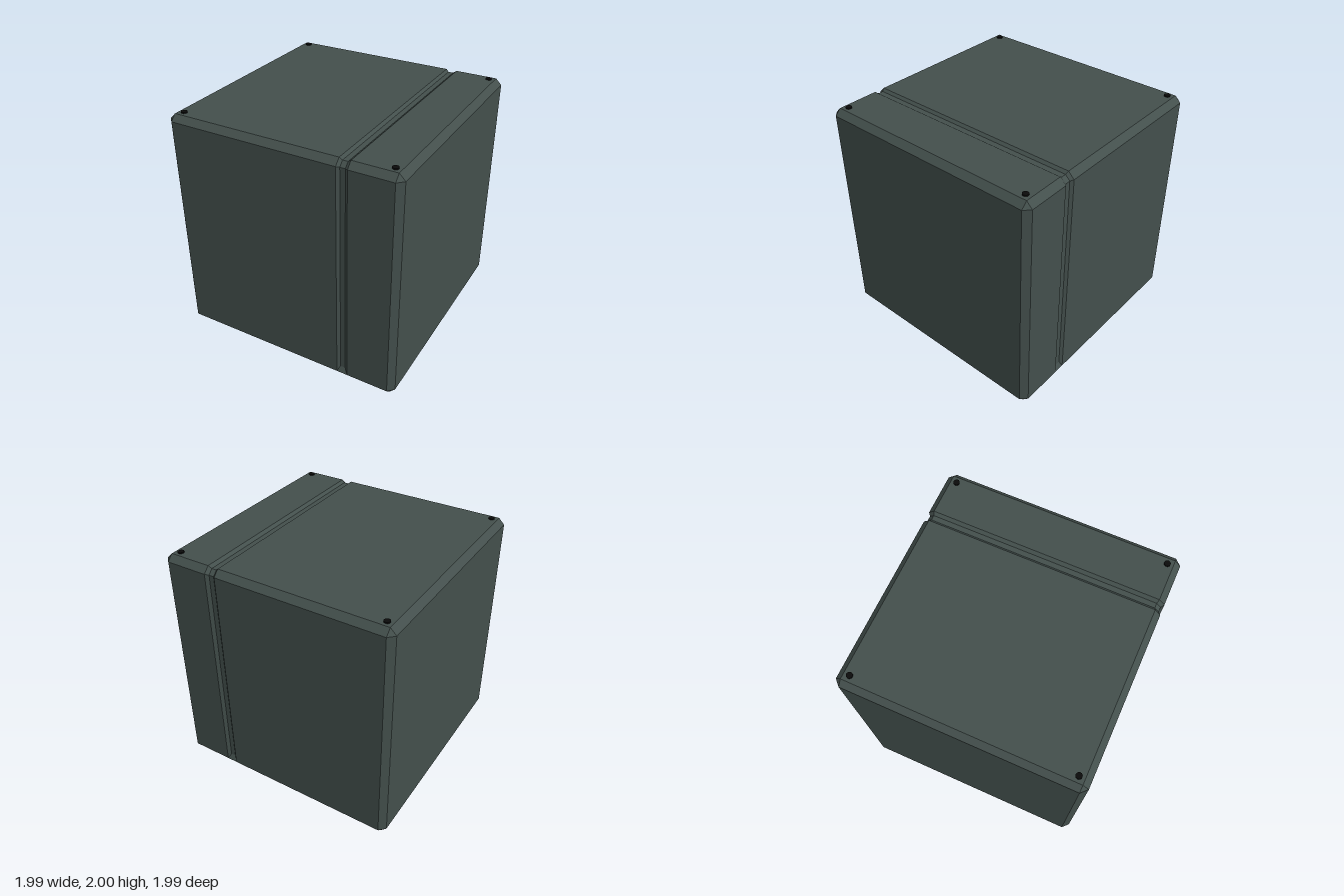
import * as THREE from 'three';

const H = 0.995, TOP = 1.99, BEVEL = 0.05, DEPTH = 0.02;

// Half profile in (z, y), from the underside up the front to the top
const half = [
  [H - BEVEL, 0], [H, BEVEL], [H, 0.1], [H, TOP - BEVEL], [H - BEVEL, TOP],
];
const profile = [...half, ...half.map(([z, y]) => [-z, y]).reverse()];

// Stations along x: bevelled ends, flat sides and the recessed groove
const stations = [
  { x: -H, end: true }, { x: -H + BEVEL }, { x: 0.495 },
  { x: 0.517, groove: true, footX: 0.495 }, { x: 0.56, groove: true, footX: 0.587 },
  { x: 0.587 }, { x: H - BEVEL }, { x: H, end: true },
];

function sectionPoint({ x, end, groove, footX }, [z, y]) {
  if (end) {
    const lim = H - BEVEL;
    return new THREE.Vector3(x, THREE.MathUtils.clamp(y, BEVEL, TOP - BEVEL), THREE.MathUtils.clamp(z, -lim, lim));
  }
  if (groove) {
    // The groove runs out into the faces just above the lower bevel
    if (y < 0.09) return new THREE.Vector3(footX, y, z);
    const corner = DEPTH * Math.tan(Math.PI / 8);
    const s = Math.sign(z);
    if (y === TOP) return new THREE.Vector3(x, y - DEPTH, z - s * corner);
    return new THREE.Vector3(x, y > 1 ? y - corner : y, z - s * DEPTH);
  }
  return new THREE.Vector3(x, y, z);
}

function createBodyGeometry() {
  const rings = stations.map((s) => profile.map((p) => sectionPoint(s, p)));
  const n = profile.length, verts = [];
  const tri = (a, b, c) => {
    const area = b.clone().sub(a).cross(c.clone().sub(a)).length();
    if (area > 1e-8) verts.push(...a, ...b, ...c);
  };
  // Skin between neighbouring sections
  for (let i = 0; i < rings.length - 1; i++) {
    for (let j = 0; j < n; j++) {
      const k = (j + 1) % n;
      const a = rings[i][j], b = rings[i + 1][j], c = rings[i + 1][k], d = rings[i][k];
      tri(a, b, c);
      tri(a, c, d);
    }
  }
  // Flat end faces
  const first = rings[0], last = rings[rings.length - 1];
  for (let j = 1; j < n - 1; j++) {
    tri(first[0], first[j], first[j + 1]);
    tri(last[0], last[j + 1], last[j]);
  }
  const geometry = new THREE.BufferGeometry();
  geometry.setAttribute('position', new THREE.Float32BufferAttribute(verts, 3));
  geometry.computeVertexNormals();
  return geometry;
}

export function createModel() {
  const model = new THREE.Group();
  model.name = 'groovedCube';

  // Bevelled cube with a groove over the front, top and back
  const bodyMaterial = new THREE.MeshStandardMaterial({ color: 0x434f4c, flatShading: true });
  const body = new THREE.Mesh(createBodyGeometry(), bodyMaterial);
  body.name = 'body';
  model.add(body);

  // Small round pads near the top corners
  const padMaterial = new THREE.MeshStandardMaterial({ color: 0x0a0a0a });
  const padGeometry = new THREE.CylinderGeometry(0.025, 0.025, 0.02, 32);
  for (const x of [-0.896, 0.896]) {
    for (const z of [-0.896, 0.896]) {
      const pad = new THREE.Mesh(padGeometry, padMaterial);
      pad.name = 'cornerPad';
      pad.position.set(x, 1.99, z);
      model.add(pad);
    }
  }
  return model;
}
